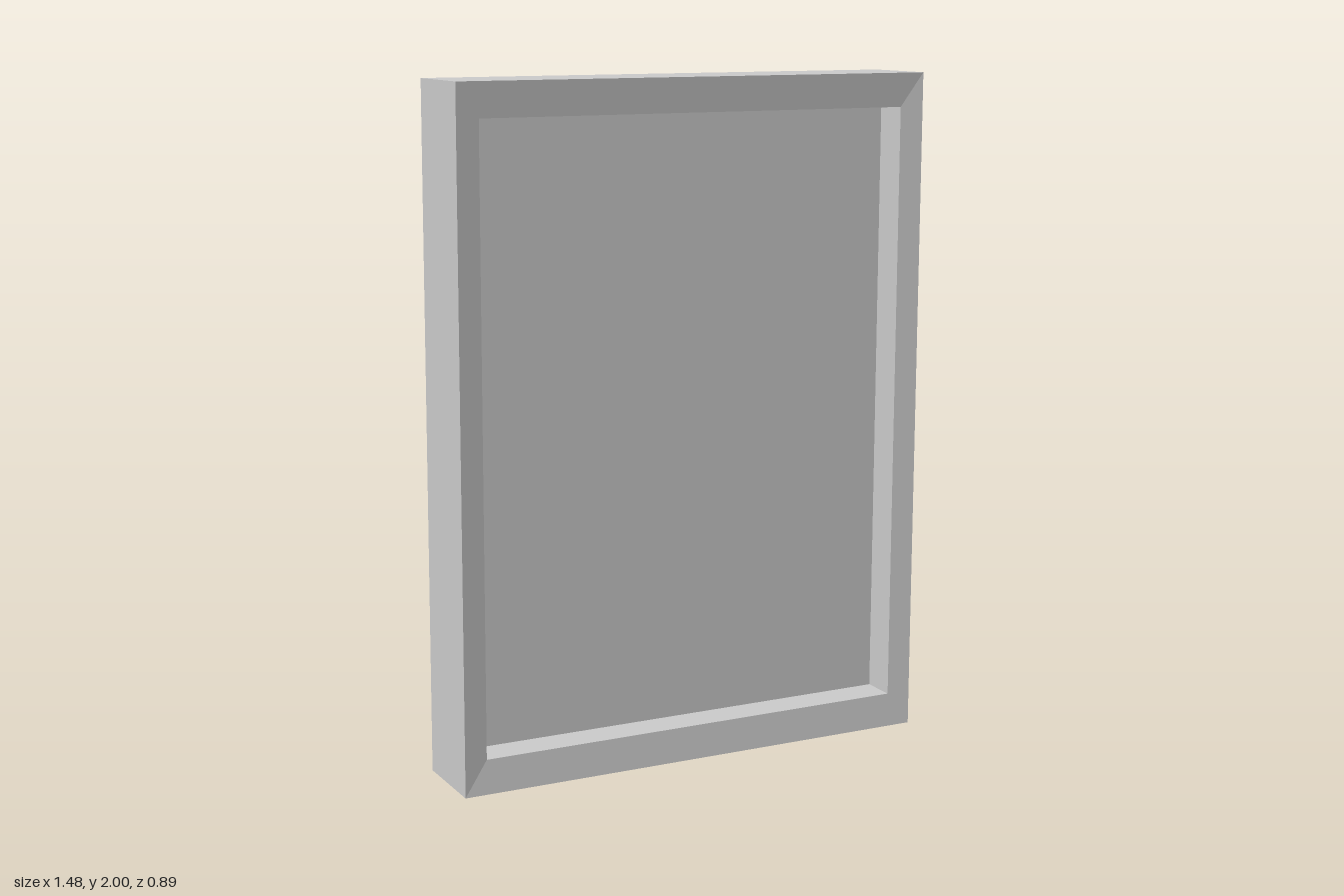
import * as THREE from 'three';

const material = new THREE.MeshStandardMaterial({ color: 0xcccccc, flatShading: true });

// Joins rectangular rings [halfWidth, halfHeight, z] and caps both ends.
function loftRectangles(rings) {
  const corners = rings.map(([w, h, z]) =>
    [[-w, -h, z], [w, -h, z], [w, h, z], [-w, h, z]]);
  const positions = [];
  const quad = (a, b, c, d) => positions.push(...a, ...b, ...c, ...a, ...c, ...d);
  const last = corners[corners.length - 1];
  quad(...corners[0]);
  for (let i = 0; i < corners.length - 1; i++) {
    for (let j = 0; j < 4; j++) {
      const k = (j + 1) % 4;
      quad(corners[i][j], corners[i + 1][j], corners[i + 1][k], corners[i][k]);
    }
  }
  quad(last[3], last[2], last[1], last[0]);
  const geometry = new THREE.BufferGeometry();
  geometry.setAttribute('position', new THREE.Float32BufferAttribute(positions, 3));
  geometry.computeVertexNormals();
  return geometry;
}

// Tapered, leaning board: a box whose corners move to the side profile.
function strutGeometry() {
  const geometry = new THREE.BoxGeometry(1, 1, 1).toNonIndexed();
  const p = geometry.attributes.position;
  // [halfWidth, y, z] for the face towards the frame and the outer face
  const profile = {
    inner: { top: [0.212, 1.333, 0.22], bottom: [0.36, 0.06, -0.375] },
    outer: { top: [0.195, 1.503, 0.22], bottom: [0.36, 0.085, -0.445] },
  };
  for (let i = 0; i < p.count; i++) {
    const face = p.getZ(i) > 0 ? profile.inner : profile.outer;
    const [w, y, z] = p.getY(i) > 0 ? face.top : face.bottom;
    p.setXYZ(i, Math.sign(p.getX(i)) * w, y, z);
  }
  geometry.computeVertexNormals();
  return geometry;
}

export function createModel() {
  const model = new THREE.Group();
  model.name = 'pictureFrame';

  // Frame with recessed picture panel, slightly inward-sloping borders
  const frame = new THREE.Mesh(loftRectangles([
    [0.67, 0.9, 0.335], // picture panel
    [0.67, 0.9, 0.44],  // inner rim
    [0.74, 1, 0.45],    // outer front edge
    [0.74, 1, 0.195],   // outer back edge
    [0.665, 0.9, 0.205], // back panel
  ]), material);
  frame.name = 'frame';
  frame.position.y = 1;

  // Easel leg, its top end buried in the back panel
  const strut = new THREE.Mesh(strutGeometry(), material);
  strut.name = 'easelLeg';

  model.add(frame, strut);
  return model;
}
